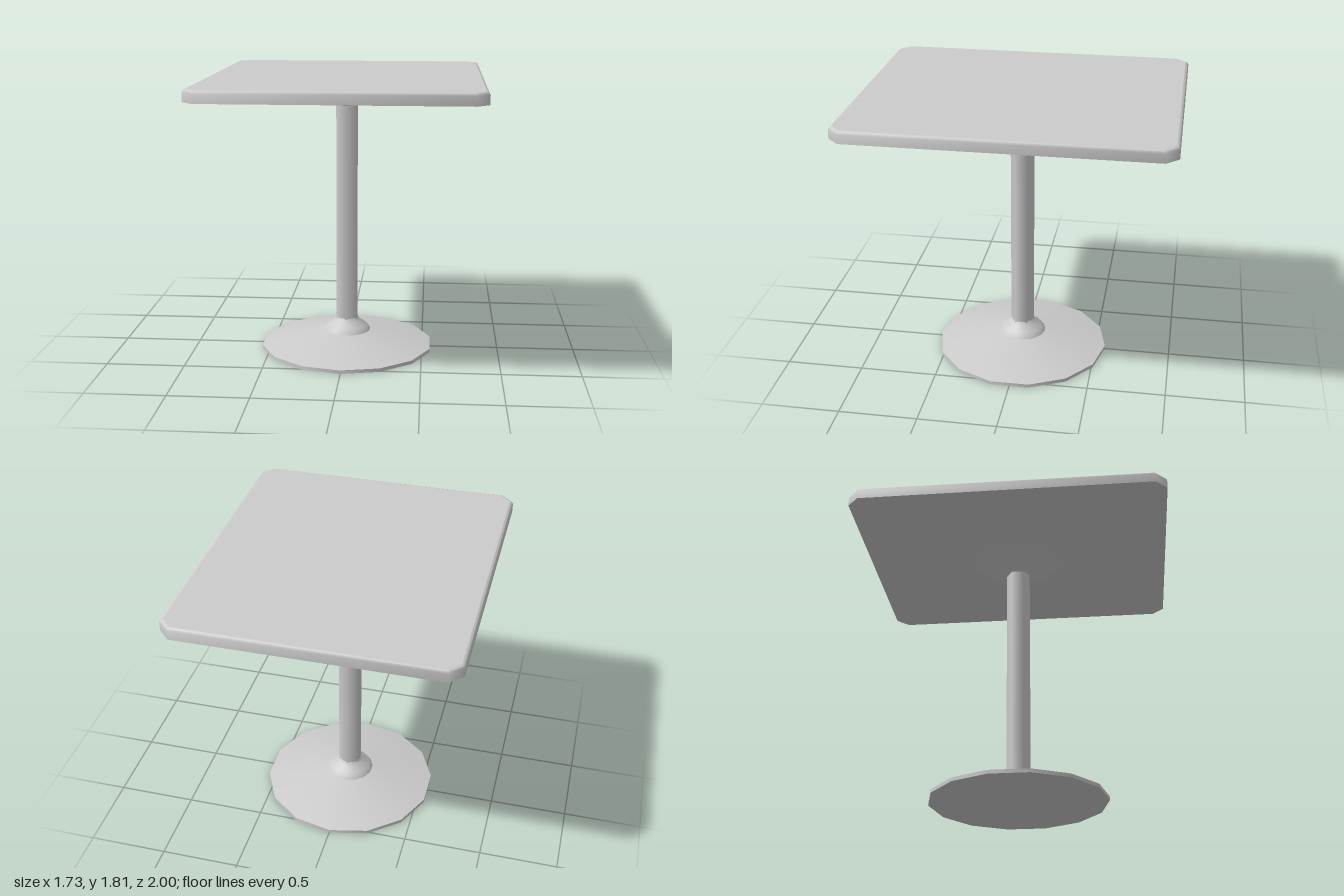
import * as THREE from 'three';
import { toCreasedNormals, mergeGeometries } from 'three/addons/utils/BufferGeometryUtils.js';

const material = new THREE.MeshStandardMaterial({ color: 0xcccccc });

function part(parent, name, geometry) {
  const mesh = new THREE.Mesh(geometry, material);
  mesh.name = name;
  parent.add(mesh);
  return mesh;
}

function lathe(points, sides) {
  return new THREE.LatheGeometry(points.map(([r, y]) => new THREE.Vector2(r, y)), sides);
}

// Rectangle with clipped corners, shrunk evenly by an inset
function outline(inset) {
  const w = 0.865 - inset, d = 1 - inset, c = 0.075 - 0.586 * inset;
  return [
    [w, -d + c], [w, d - c], [w - c, d], [-w + c, d],
    [-w, d - c], [-w, -d + c], [-w + c, -d], [w - c, -d],
  ];
}

// Skin between outlines stacked as [inset, height]
function edgeBand(levels) {
  const pos = [];
  const rings = levels.map(([inset, y]) => outline(inset).map(([x, z]) => [x, y, z]));
  for (let i = 0; i < rings.length - 1; i++) {
    for (let j = 0; j < 8; j++) {
      const k = (j + 1) % 8;
      const a = rings[i][j], b = rings[i][k], c = rings[i + 1][k], d = rings[i + 1][j];
      pos.push(...a, ...d, ...c, ...a, ...c, ...b);
    }
  }
  const geometry = new THREE.BufferGeometry();
  geometry.setAttribute('position', new THREE.Float32BufferAttribute(pos, 3));
  return toCreasedNormals(geometry, 0.9);
}

// Flat face closing the slab at one height
function cap(inset, y, facing) {
  const shape = new THREE.Shape(outline(inset).map(([x, z]) => new THREE.Vector2(x, z)));
  const geometry = new THREE.ShapeGeometry(shape).rotateX(-facing * Math.PI / 2).translate(0, y, 0);
  geometry.deleteAttribute('uv');
  return geometry.toNonIndexed();
}

export function createModel() {
  const table = new THREE.Group();
  table.name = 'pedestalTable';

  // Slab with a softened upper edge
  const levels = [[0, 1.735], [0, 1.79], [0.006, 1.804], [0.02, 1.81]];
  part(table, 'tabletop', mergeGeometries([
    edgeBand(levels), cap(0, 1.735, -1), cap(0.02, 1.81, 1),
  ]));

  // Six-sided flare and column
  part(table, 'topBracket', lathe([[0.078, 1.615], [0.1, 1.635], [0.345, 1.736]], 6));
  part(table, 'column', new THREE.CylinderGeometry(0.077, 0.077, 1.49, 6, 1, true).translate(0, 0.88, 0));

  // Shallow conical foot with a rounded collar
  part(table, 'base', toCreasedNormals(lathe([
    [0, 0], [0.567, 0], [0.567, 0.023], [0.4, 0.063], [0.156, 0.11],
  ], 14), 0.6));
  part(table, 'baseCollar', lathe([
    [0.156, 0.11], [0.136, 0.142], [0.09, 0.17], [0.072, 0.198],
  ], 14));

  return table;
}
